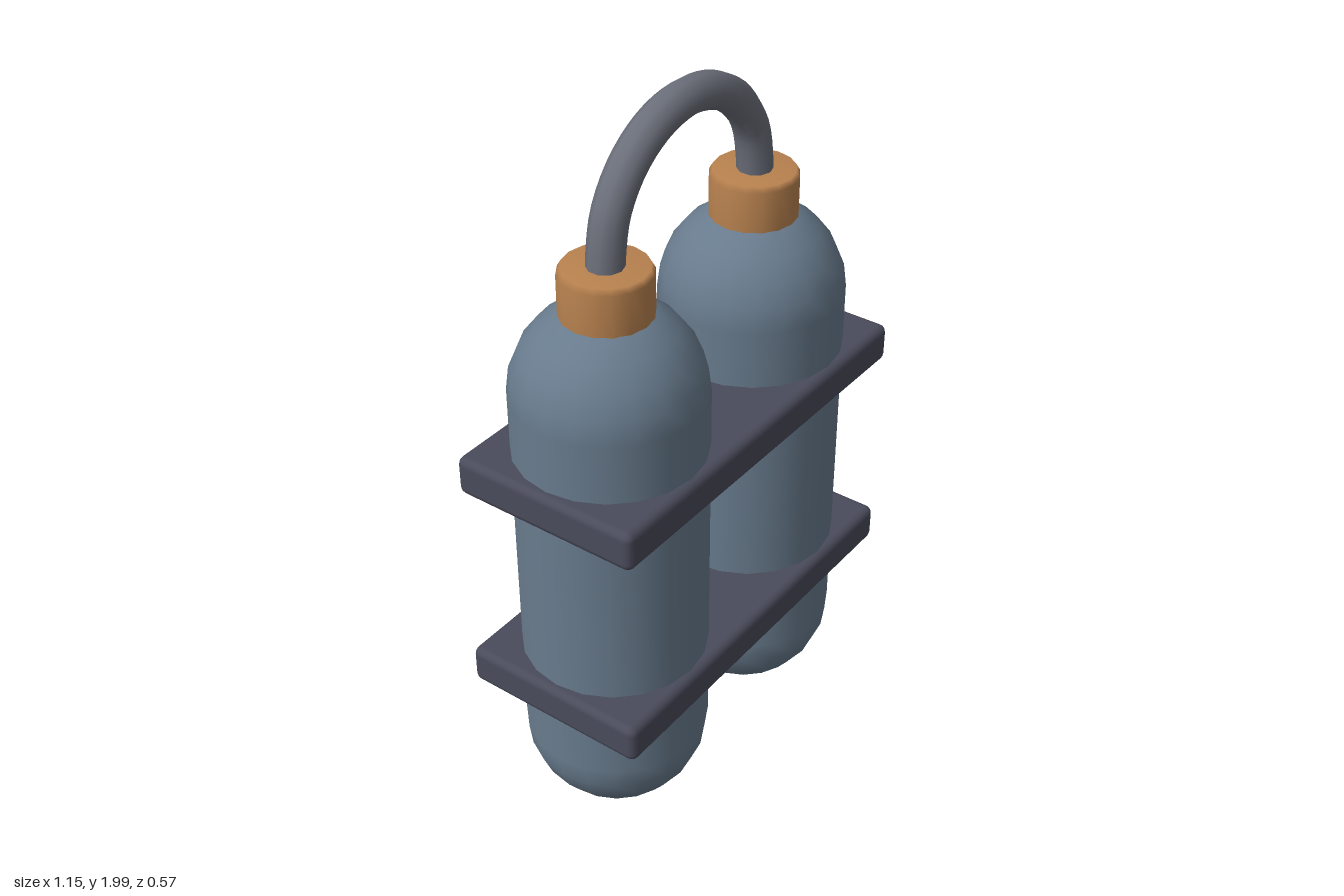
import * as THREE from 'three';
import { RoundedBoxGeometry } from 'three/addons/geometries/RoundedBoxGeometry.js';

export function createModel() {
  const group = new THREE.Group();
  const mat = (color, extra = {}) => new THREE.MeshStandardMaterial({ color, ...extra });
  const tankMat = mat(0x687b8d);
  const capMat = mat(0xb9824f);
  const hoseMat = mat(0x6b6f7a);
  const strapMat = mat(0x4a4b5b);
  const railMat = mat(0xcccccc, { flatShading: true });

  const add = (name, geometry, material, x, y, z) => {
    const mesh = new THREE.Mesh(geometry, material);
    mesh.name = name;
    mesh.position.set(x, y, z);
    group.add(mesh);
    return mesh;
  };

  const tankX = 0.303, midZ = 0.014;

  // Bevelled valve cap profile
  const capProfile = [[0, 1.49], [0.11, 1.49], [0.117, 1.515], [0.117, 1.635], [0.108, 1.65], [0, 1.65]]
    .map(([r, y]) => new THREE.Vector2(r, y));

  for (const [side, s] of [['left', 1], ['right', -1]]) {
    // Round-ended gas tank
    add(side + 'Tank', new THREE.CapsuleGeometry(0.248, 1.054, 6, 20), tankMat, s * tankX, 0.78, midZ);
    // Valve cap on the neck
    add(side + 'ValveCap', new THREE.LatheGeometry(capProfile, 16), capMat, s * tankX, 0, midZ);
    // Faceted rail on the back
    const rail = add(side + 'BackRail', new THREE.CapsuleGeometry(0.048, 0.42, 2, 7), railMat, s * tankX, 0.785, -0.242);
    rail.scale.set(1, 0.95, 0.9);
  }

  // Two plates holding the tanks together
  for (const [name, y] of [['lowerStrap', 0.47], ['upperStrap', 1.092]]) {
    add(name, new RoundedBoxGeometry(1.15, 0.11, 0.535, 2, 0.022), strapMat, 0, y, midZ);
  }

  // Hose arching from cap to cap
  const points = [new THREE.Vector3(-0.305, 1.63, 0)];
  for (let i = 0; i <= 8; i++) {
    const a = Math.PI * (1 - i / 8);
    points.push(new THREE.Vector3(0.303 * Math.cos(a), 1.665 + 0.288 * Math.sin(a), 0));
  }
  points.push(new THREE.Vector3(0.305, 1.63, 0));
  add('hose', new THREE.TubeGeometry(new THREE.CatmullRomCurve3(points), 32, 0.047, 10), hoseMat, 0, 0, midZ);

  return group;
}
